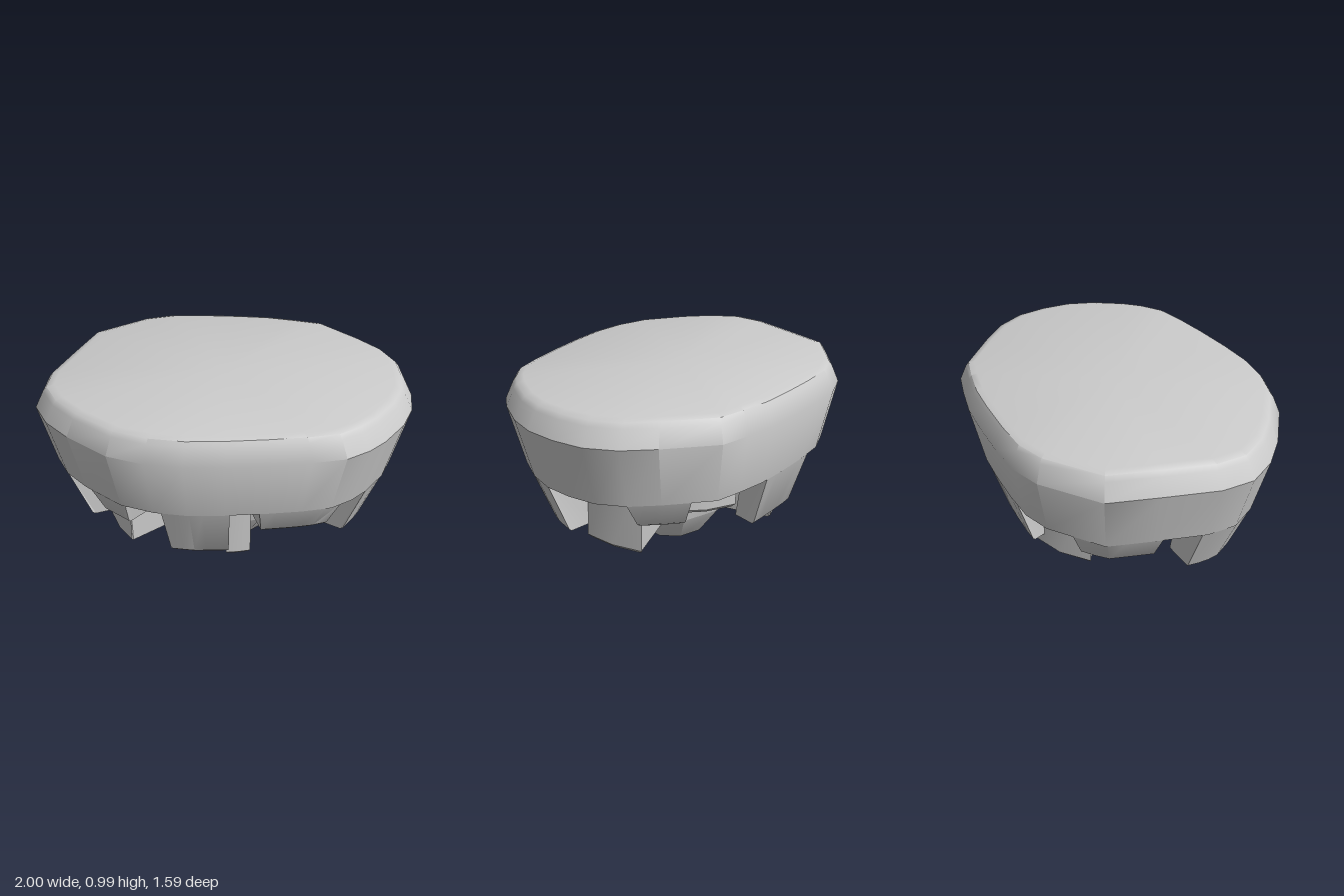
import * as THREE from 'three';
import { toCreasedNormals } from 'three/addons/utils/BufferGeometryUtils.js';

// Plan outline at the widest height, as [x, z]
const OUTLINE = [
  [1, 0.05], [0.98, 0.22], [0.93, 0.38], [0.84, 0.52], [0.7, 0.66], [0.6, 0.73], [0.47, 0.785],
  [0.3, 0.79], [0.1, 0.78], [-0.12, 0.76], [-0.32, 0.73], [-0.5, 0.67], [-0.67, 0.57],
  [-0.85, 0.36], [-0.95, 0.2], [-1, 0.03], [-0.96, -0.14], [-0.82, -0.39], [-0.68, -0.63],
  [-0.36, -0.78], [-0.19, -0.8], [0, -0.77], [0.22, -0.72], [0.4, -0.67], [0.56, -0.6],
  [0.7, -0.53], [0.87, -0.28], [0.96, -0.12],
];
const TAU = Math.PI * 2;
const rad = THREE.MathUtils.degToRad;
const angleOf = ([x, z]) => (Math.atan2(z, x) + TAU) % TAU;

// Distance from the centre to the outline along an angle
function outlineRadius(a) {
  const dx = Math.cos(a), dz = Math.sin(a);
  for (let i = 0; i < OUTLINE.length; i++) {
    const [px, pz] = OUTLINE[i], [qx, qz] = OUTLINE[(i + 1) % OUTLINE.length];
    const s = px * dz - pz * dx, t = qx * dz - qz * dx;
    if (s >= 0 && t <= 0 && s - t > 1e-9) {
      const k = s / (s - t), x = px + (qx - px) * k, z = pz + (qz - pz) * k;
      if (x * dx + z * dz > 0) return x * dx + z * dz;
    }
  }
  return 1;
}

// Skin closed sections that follow one another around the centre
function loft(sections, closed, crease) {
  const pos = [], e1 = new THREE.Vector3(), e2 = new THREE.Vector3();
  const tri = (a, b, c) => {
    if (e1.subVectors(b, a).cross(e2.subVectors(c, a)).length() < 1e-8) return;
    for (const p of [a, b, c]) pos.push(p.x, p.y, p.z);
  };
  const n = sections[0].length, m = sections.length;
  for (let i = 0; i < (closed ? m : m - 1); i++) {
    const s = sections[i], t = sections[(i + 1) % m];
    for (let j = 0; j < n; j++) {
      const k = (j + 1) % n;
      tri(s[j], t[j], t[k]);
      tri(s[j], t[k], s[k]);
    }
  }
  if (!closed) {
    const s = sections[0], t = sections[m - 1];
    for (let j = 1; j < n - 1; j++) {
      tri(s[0], s[j], s[j + 1]);
      tri(t[0], t[j + 1], t[j]);
    }
  }
  const g = new THREE.BufferGeometry();
  g.setAttribute('position', new THREE.Float32BufferAttribute(pos, 3));
  return toCreasedNormals(g, crease);
}

const polar = (a, r, y) => new THREE.Vector3(Math.cos(a) * r, y, Math.sin(a) * r);

// Wedge between two angles; profile rows are [radius, y, angular inset at the ends]
function wedge(from, to, steps, radius, profile) {
  const mid = rad((from + to) / 2), half = rad((to - from) / 2), sections = [];
  for (let i = 0; i <= steps; i++) {
    const u = (i / steps) * 2 - 1;
    sections.push(profile.map(([r, y, inset = 0]) => {
      const a = mid + u * (half - rad(inset));
      return polar(a, r * radius(a), y);
    }));
  }
  return loft(sections, false, 0.5);
}

export function createModel() {
  const group = new THREE.Group();
  const material = new THREE.MeshStandardMaterial({ color: 0xcccccc });
  const add = (name, geometry) => {
    const mesh = new THREE.Mesh(geometry, material);
    mesh.name = name;
    group.add(mesh);
    return mesh;
  };

  // Flat-topped body with a rounded rim and inward sloping wall
  const bodyProfile = [[0, 0.985], [0.895, 0.985], [0.935, 0.974], [0.955, 0.95],
    [1, 0.86], [0.912, 0.53], [0, 0.53]];
  const bodySections = OUTLINE.map((p) => {
    const a = angleOf(p), r = Math.hypot(...p);
    return bodyProfile.map(([k, y]) => polar(a, k * r, y));
  });
  add('body', loft(bodySections, true, 0.65));

  // Long and short lobes hanging from the rim: [from, to, bottom] in degrees
  const lobes = [[22, 43, 0.23], [55, 85, 0.385], [97, 124, 0.23], [138, 155, 0.385],
    [168, 190, 0.23], [203, 235, 0.385], [264, 297, 0.23], [332, 353, 0.385]];
  for (const [from, to, bottom] of lobes) {
    const long = bottom < 0.3;
    const low = long ? 0.795 : 0.85, inset = long ? 0 : 2;
    add(long ? 'longLobe' : 'shortLobe', wedge(from, to, 5, outlineRadius, [
      [0.912, 0.535], [low, bottom + 0.015, inset], [low - 0.02, bottom, inset + 0.5],
      [low * 0.76, bottom, inset + 0.5], [0.912 * 0.74, 0.535],
    ]));
  }

  // Inner blocks in the gaps: [from, to, inner radius, outer radius, bottom]
  const blocks = [[-7, 23, 0.34, 0.67, 0.145], [84, 98, 0.3, 0.53, 0.145],
    [149, 174, 0.34, 0.65, 0.145], [233, 272, 0.28, 0.55, 0.145],
    [35, 53, 0.3, 0.6, 0.325], [303, 339, 0.3, 0.53, 0.32]];
  for (const [from, to, inner, outer, bottom] of blocks) {
    add('innerBlock', wedge(from, to, 2, () => 1, [
      [outer, 0.54], [outer, bottom + 0.02], [outer - 0.02, bottom, 1.5],
      [inner, bottom, 1.5], [inner, 0.54],
    ]));
  }

  // Faceted core tapering to a blunt tip
  const coreProfile = [[0, 0.54], [1, 0.54], [1, 0.2], [0.58, 0.025], [0, 0]];
  const coreSections = [];
  for (let i = 0; i < 10; i++) {
    const a = (i / 10) * TAU;
    coreSections.push(coreProfile.map(([k, y]) =>
      new THREE.Vector3(0.035 + Math.cos(a) * k * 0.37, y, 0.015 + Math.sin(a) * k * 0.315)));
  }
  add('core', loft(coreSections, true, 0.7));

  return group;
}
